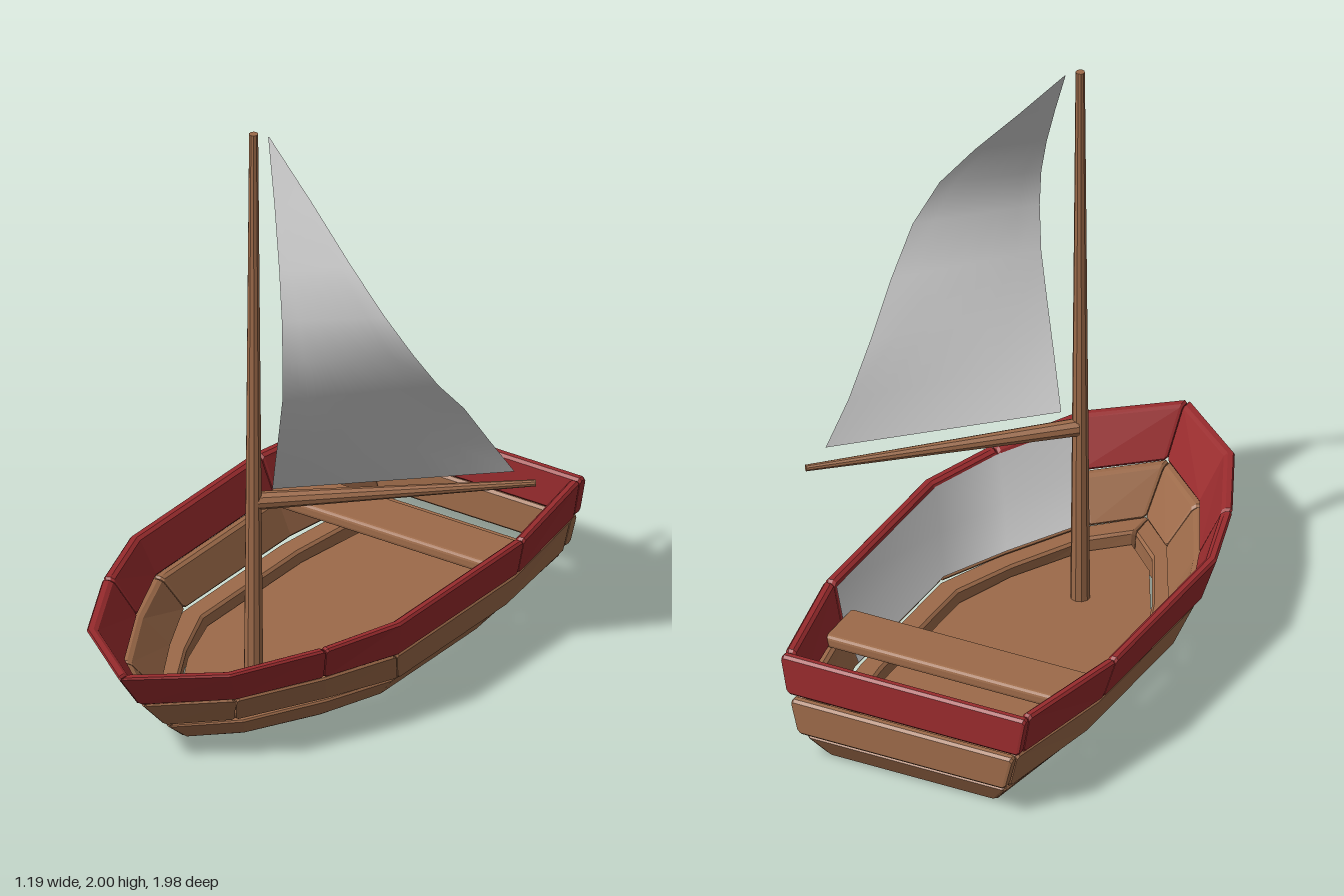
import * as THREE from 'three';
import { RoundedBoxGeometry } from 'three/addons/geometries/RoundedBoxGeometry.js';

const material = (color, extra = {}) => new THREE.MeshStandardMaterial({ color, ...extra });
const wood = material(0x9c6a49, { flatShading: true });
const red = material(0x982b2d, { flatShading: true });
const cloth = material(0xcccccc, { side: THREE.DoubleSide });

// Half outlines of the hull, bow to stern, as [x, z] at falling heights
const RIM = [[0, 0.99], [0.28, 0.77], [0.435, 0.455], [0.525, 0.17], [0.525, -0.52], [0.44, -0.955]];
const RIM_LOW = [[0, 0.875], [0.235, 0.67], [0.38, 0.39], [0.485, 0.13], [0.485, -0.54], [0.415, -0.955]];
const SIDE = [[0, 0.86], [0.228, 0.66], [0.375, 0.38], [0.475, 0.12], [0.475, -0.54], [0.4, -0.962]];
const SIDE_LOW = [[0, 0.73], [0.165, 0.575], [0.32, 0.29], [0.43, 0.05], [0.43, -0.55], [0.37, -0.962]];
const CHINE = [[0, 0.72], [0.18, 0.55], [0.32, 0.28], [0.41, 0.05], [0.41, -0.5], [0.36, -0.97]];
const KEEL = [[0, 0.62], [0.14, 0.49], [0.27, 0.25], [0.345, 0.03], [0.345, -0.5], [0.295, -0.92]];

// Mitred inward offset of an outline
function inset(path, t) {
  const normal = (a, b) => new THREE.Vector2(b[1] - a[1], a[0] - b[0]).normalize();
  return path.map((p, i) => {
    const prev = path[i - 1] ?? (p[0] === 0 ? [-path[1][0], path[1][1]] : null);
    const next = path[i + 1];
    const n1 = prev ? normal(prev, p) : normal(p, next);
    const n2 = next ? normal(p, next) : n1;
    const k = t / (1 + n1.dot(n2));
    return [p[0] + (n1.x + n2.x) * k, p[1] + (n1.y + n2.y) * k];
  });
}

// Closed solid through a list of equal-sized rings
function loft(rings) {
  const n = rings[0].length, last = (rings.length - 1) * n, index = [];
  for (let r = 0; r < rings.length - 1; r++) {
    for (let i = 0; i < n; i++) {
      const a = r * n + i, b = r * n + (i + 1) % n;
      index.push(a, b, a + n, b, b + n, a + n);
    }
  }
  for (let i = 1; i < n - 1; i++) index.push(0, i + 1, i, last, last + i, last + i + 1);
  const pts = rings.flat();
  // Turn the faces outward when the signed volume is negative
  let volume = 0;
  for (let i = 0; i < index.length; i += 3) {
    const [a, b, c] = [pts[index[i]], pts[index[i + 1]], pts[index[i + 2]]];
    volume += a.dot(b.clone().cross(c));
  }
  if (volume < 0) index.reverse();
  const geometry = new THREE.BufferGeometry().setFromPoints(pts).setIndex(index);
  geometry.computeVertexNormals();
  return geometry;
}

// Bevelled plank between two outlines, covering stations from..to
function plank(top, bottom, yTop, yLow, tTop, tLow, from, to, side = 1) {
  const inTop = inset(top, tTop), inLow = inset(bottom, tLow);
  const sections = [];
  for (let i = from; i <= to; i++) {
    const at = (p, y) => new THREE.Vector3(side * p[i][0], y, p[i][1]);
    sections.push([at(top, yTop), at(bottom, yLow), at(inLow, yLow), at(inTop, yTop)]);
  }
  const step = (a, b, d) => a.clone().lerp(b, Math.min(0.45, d / a.distanceTo(b)));
  const bevel = (s) => s.flatMap((p, i) => [step(p, s[(i + 3) % 4], 0.009), step(p, s[(i + 1) % 4], 0.009)]);
  const shift = (s, toward, d) => s.map((p, i) => step(p, toward[i], d));
  const shrink = (s) => {
    const c = s.reduce((m, p) => m.add(p), new THREE.Vector3()).divideScalar(4);
    return s.map((p) => step(p, c, 0.009));
  };
  const m = sections.length - 1;
  const ends = (s, t) => [bevel(shrink(shift(s, t, 0.002))), bevel(shift(s, t, 0.011))];
  return loft([
    ...ends(sections[0], sections[1]),
    ...sections.slice(1, m).map(bevel),
    ...ends(sections[m], sections[m - 1]).reverse(),
  ]);
}

export function createModel() {
  const boat = new THREE.Group();
  boat.name = 'sailboat';
  const hull = new THREE.Group();
  hull.name = 'hull';
  hull.position.x = -0.075;
  boat.add(hull);
  const add = (parent, name, geometry, mat) => {
    const mesh = new THREE.Mesh(geometry, mat);
    mesh.name = name;
    parent.add(mesh);
    return mesh;
  };

  // Three tiers of planking on both sides
  for (const side of [1, -1]) {
    const label = side > 0 ? 'left' : 'right';
    for (const [a, b] of [[0, 2], [2, 4], [4, 5]])
      add(hull, `${label}RimPlank`, plank(RIM, RIM_LOW, 0.37, 0.225, 0.035, 0.035, a, b, side), red);
    for (const [a, b] of [[0, 1], [1, 3], [3, 5]])
      add(hull, `${label}SidePlank`, plank(SIDE, SIDE_LOW, 0.218, 0.09, 0.035, 0.035, a, b, side), wood);
    add(hull, `${label}BottomPlank`, plank(CHINE, KEEL, 0.082, 0, 0.078, 0.012, 0, 5, side), wood);
  }

  // Boards across the stern
  const across = (w, z) => [[w, z], [-w, z]];
  add(hull, 'sternRim', plank(across(0.44, -0.99), across(0.415, -0.99), 0.37, 0.23, 0.035, 0.035, 0, 1), red);
  add(hull, 'sternBoard', plank(across(0.4, -1), across(0.37, -1), 0.222, 0.1, 0.036, 0.036, 0, 1), wood);
  add(hull, 'sternBottom', plank(across(0.36, -0.97), across(0.295, -0.92), 0.082, 0, 0.08, 0.025, 0, 1), wood);

  // Floor
  const half = inset(KEEL, 0.022);
  half[5][1] = -0.885;
  const outline = [...half, ...half.slice(1).reverse().map(([x, z]) => [-x, z])];
  const floor = new THREE.ExtrudeGeometry(
    new THREE.Shape(outline.map(([x, z]) => new THREE.Vector2(x, z))), { depth: 0.04, bevelEnabled: false });
  floor.rotateX(Math.PI / 2).translate(0, 0.044, 0);
  add(hull, 'floor', floor, wood);

  // Grey lining along the inside of the left planks
  const levels = [[RIM, 0.355], [RIM_LOW, 0.222], [SIDE_LOW, 0.115]];
  const lining = new THREE.PlaneGeometry(1, 1, 3, 2);
  levels.forEach(([path, y], row) => inset(path, 0.043).slice(1, 5).forEach(([x, z], i) =>
    lining.attributes.position.setXYZ(row * 4 + i, x, y, z)));
  lining.computeVertexNormals();
  add(hull, 'innerLining', lining, cloth);

  // Bench
  add(hull, 'bench', new RoundedBoxGeometry(0.895, 0.045, 0.19, 2, 0.014), wood).position.set(0, 0.245, -0.575);

  // Mast and boom
  const spar = (name, from, to, r0, r1) => {
    const dir = to.clone().sub(from);
    const mesh = add(boat, name, new THREE.CylinderGeometry(r1, r0, dir.length(), 10), wood);
    mesh.position.copy(from).addScaledVector(dir, 0.5);
    mesh.quaternion.setFromUnitVectors(new THREE.Vector3(0, 1, 0), dir.normalize());
  };
  const v = (x, y, z) => new THREE.Vector3(x, y, z);
  spar('mast', v(-0.075, 0.03, 0.235), v(-0.075, 2, 0.235), 0.032, 0.015);
  spar('boom', v(-0.07, 0.68, 0.225), v(0.585, 0.675, -0.385), 0.03, 0.011);

  // Sail: rows of height, front edge x z, rear edge x z
  const rows = [
    [0.73, -0.02, 0.21, 0.545, -0.325], [0.87, 0.042, 0.285, 0.51, -0.235], [1.03, 0.105, 0.355, 0.492, -0.12],
    [1.18, 0.15, 0.4, 0.495, 0.03], [1.33, 0.17, 0.428, 0.475, 0.14], [1.47, 0.155, 0.41, 0.41, 0.2],
    [1.62, 0.11, 0.36, 0.29, 0.213], [1.8, 0.04, 0.285, 0.13, 0.205], [1.99, -0.036, 0.21, -0.034, 0.208],
  ];
  const columns = 6;
  const sail = new THREE.PlaneGeometry(1, 1, columns, rows.length - 1);
  rows.forEach(([y, x0, z0, x1, z1], r) => {
    for (let c = 0; c <= columns; c++) {
      const t = c / columns;
      sail.attributes.position.setXYZ(r * (columns + 1) + c,
        THREE.MathUtils.lerp(x0, x1, t), y, THREE.MathUtils.lerp(z0, z1, t));
    }
  });
  sail.index.array.reverse();
  sail.computeVertexNormals();
  add(boat, 'sail', sail, cloth);

  return boat;
}
